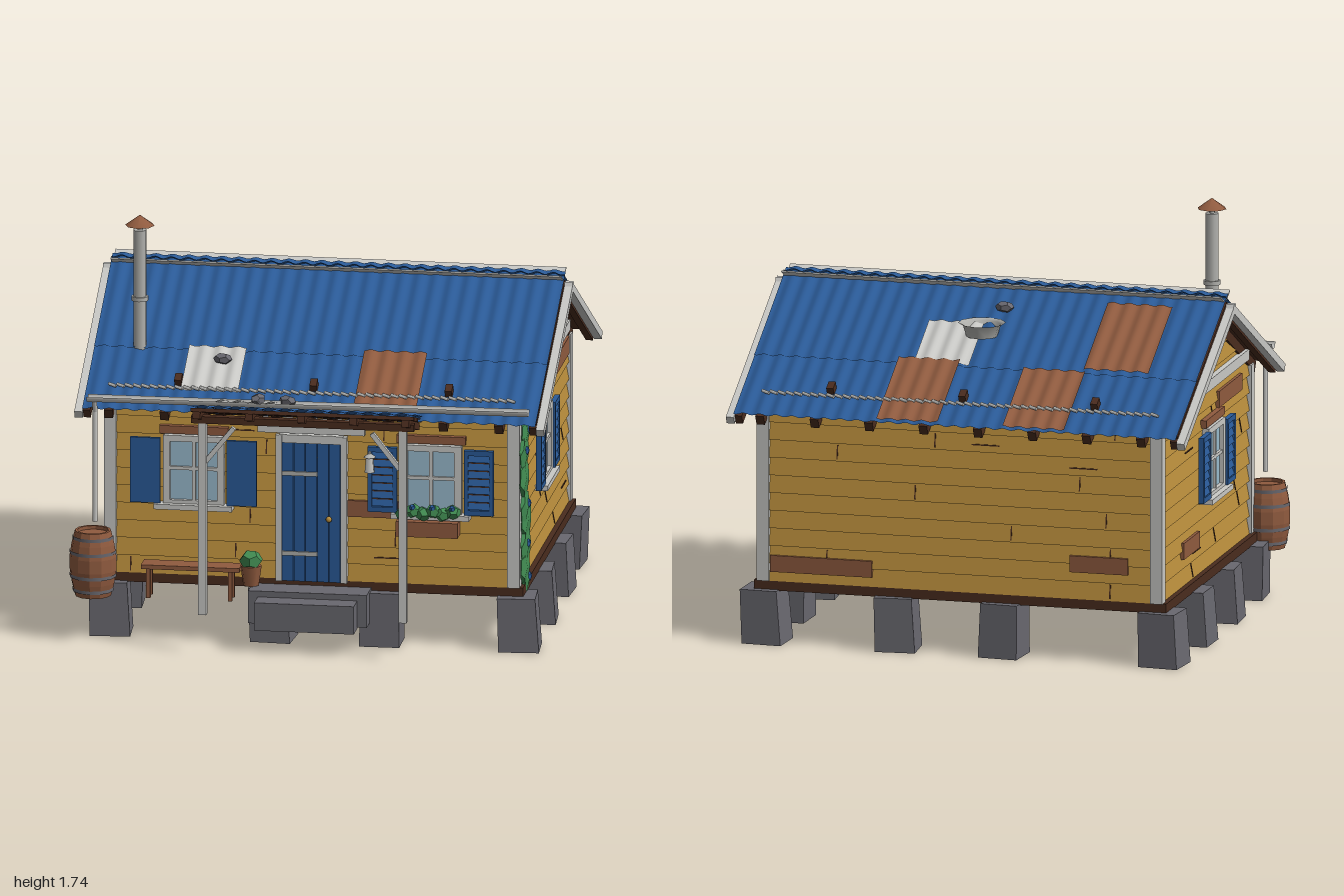
import * as THREE from 'three';
import { mergeGeometries } from 'three/addons/utils/BufferGeometryUtils.js';

const mat = (name, color, extra = {}) => Object.assign(new THREE.MeshStandardMaterial({ color, ...extra }), { name });

export function createModel() {
  const both = { side: THREE.DoubleSide };
  const wallM = mat('ochre boards', 0xba8e3c), blue = mat('blue paint', 0x2a5a97, both), trim = mat('pale trim', 0xc9c9c6, both),
    rust = mat('rusty brown', 0x905b3f, both), dark = mat('dark timber', 0x4a2c1e), floorM = mat('floor timber', 0x5e3c2a),
    stone = mat('stone', 0x69686f), green = mat('leaf green', 0x418c52), glass = mat('window glass', 0x9abdd0), metal = mat('grey metal', 0xb2b2ae, both);
  let seed = 7;
  const rand = () => (seed = (seed * 16807) % 2147483647) / 2147483647;
  const root = new THREE.Group();
  root.name = 'cabin';

  const add = (p, m, name, geo, x = 0, y = 0, z = 0) => {
    const mesh = new THREE.Mesh(geo, m);
    mesh.name = name;
    mesh.position.set(x, y, z);
    p.add(mesh);
    return mesh;
  };
  const box = (p, m, name, [w, h, d], [x, y, z]) => add(p, m, name, new THREE.BoxGeometry(w, h, d), x, y, z);
  const rock = (p, m, name, r, [x, y, z], [sx, sy, sz]) => {
    const o = add(p, m, name, new THREE.DodecahedronGeometry(r), x, y, z);
    o.scale.set(sx, sy, sz);
    return o;
  };
  // straight round bar between two points
  const bar = (p, m, name, r, a, b, n = 8) => {
    const A = new THREE.Vector3(...a), d = new THREE.Vector3(...b).sub(A);
    const o = add(p, m, name, new THREE.CylinderGeometry(r, r, d.length(), n));
    o.position.copy(A).addScaledVector(d, 0.5);
    o.quaternion.setFromUnitVectors(new THREE.Vector3(0, 1, 0), d.normalize());
    return o;
  };

  // ---- body core, floor, sill, corner posts
  const CX = 0.01, CZ = -0.1, SL = 0.53, tilt = Math.atan(SL), K = Math.hypot(1, SL);
  const s = new THREE.Shape([[-0.69, 0.25], [0.69, 0.25], [0.69, 1.01], [0, 1.375], [-0.69, 1.01]].map(([x, y]) => new THREE.Vector2(x, y)));
  const core = new THREE.ExtrudeGeometry(s, { depth: 1.68, bevelEnabled: false }).translate(0, 0, -0.84).rotateY(Math.PI / 2);
  add(root, dark, 'bodyCore', core, CX, 0, CZ);
  for (let i = 0; i < 14; i++) box(root, floorM, 'floorBoard', [1.7, 0.012, 0.096], [CX, 0.243, -0.75 + i * 0.1]);
  for (const k of [-1, 1]) {
    box(root, dark, 'sill', [1.78, 0.042, 0.05], [CX, 0.25, CZ + k * 0.69]);
    box(root, dark, 'sill', [0.05, 0.042, 1.42], [CX + k * 0.865, 0.25, CZ]);
    box(root, dark, 'ridgeBeam', [0.1, 0.05, 0.05], [CX + k * 0.88, 1.355, CZ]);
    for (const j of [-1, 1]) box(root, trim, 'cornerPost', [0.052, 0.72, 0.052], [CX + k * 0.85, 0.63, CZ + j * 0.7]);
  }

  // ---- four lapped-board walls; each group faces +z locally
  const ROW = 0.0753;
  const wall = (name, angle, dist, half, gable) => {
    const g = new THREE.Group();
    g.name = name;
    g.rotation.y = angle;
    g.position.set(CX + Math.sin(angle) * dist, 0, CZ + Math.cos(angle) * dist);
    root.add(g);
    const halfAt = y => gable ? Math.max(0, Math.min(half, (1.395 - y) / SL)) : half;
    const boards = [];
    for (let y0 = 0.27; y0 < (gable ? 1.38 : 1.01); y0 += ROW) {
      const y1 = Math.min(y0 + ROW, gable ? 1.39 : 1.02), b = new THREE.BoxGeometry(2, 1, 1), p = b.attributes.position;
      for (let i = 0; i < p.count; i++) {
        const low = p.getY(i) < 0, y = low ? y0 : y1;
        p.setXYZ(i, p.getX(i) * halfAt(y), y, p.getZ(i) > 0 ? (low ? 0.018 : 0.004) : -0.015);
      }
      b.computeVertexNormals();
      boards.push(b);
      // board joints and cracks
      if (y0 < 1) {
        const x = (rand() * 1.8 - 0.9) * half;
        box(g, dark, 'boardJoint', [0.005, ROW * 0.8, 0.006], [x, y0 + ROW / 2, 0.011]).rotation.x = -0.18;
        if (rand() < 0.3) box(g, dark, 'crack', [0.12, 0.005, 0.006], [-x, y0 + ROW * 0.4, 0.013]);
      }
    }
    add(g, wallM, 'lappedBoards', mergeGeometries(boards));
    return g;
  };
  const front = wall('frontWall', 0, 0.7, 0.85, false), back = wall('backWall', Math.PI, 0.7, 0.85, false);
  const right = wall('plusXWall', Math.PI / 2, 0.85, 0.7, true), left = wall('minusXWall', -Math.PI / 2, 0.85, 0.7, true);
  const patch = (g, x, y, w, h = 0.07) => box(g, rust, 'repairBoard', [w, h, 0.02], [x, y, 0.014]);
  patch(front, 0.26, 0.585, 0.22);
  patch(back, -0.6, 0.345, 0.44);
  patch(back, 0.6, 0.42, 0.25);
  patch(left, -0.25, 0.42, 0.25);
  patch(left, 0.36, 0.95, 0.36);
  patch(right, 0.02, 0.955, 1.26, 0.075);

  function windowUnit(g, x, off, louvred) {
    const w = new THREE.Group();
    w.name = 'window';
    w.position.set(x, 0.724, 0.02);
    g.add(w);
    box(w, glass, 'pane', [0.21, 0.27, 0.008], [0, 0, 0.004]);
    for (const k of [-1, 1]) {
      box(w, trim, 'sideFrame', [0.03, 0.3, 0.03], [k * 0.114, 0, 0.01]);
      box(w, trim, 'crossFrame', [0.25, 0.026, 0.03], [0, k * 0.139, 0.01]);
      const sh = new THREE.Group();
      sh.name = 'shutter';
      sh.position.set(k * off, 0, 0.025);
      w.add(sh);
      if (louvred) {
        box(sh, dark, 'shutterBack', [0.11, 0.26, 0.006], [0, 0, -0.008]);
        for (const j of [-1, 1]) {
          box(sh, blue, 'stile', [0.018, 0.28, 0.022], [j * 0.053, 0, 0]);
          box(sh, blue, 'rail', [0.1, 0.022, 0.022], [0, j * 0.129, 0]);
        }
        for (let i = 0; i < 7; i++) box(sh, blue, 'slat', [0.09, 0.028, 0.006], [0, -0.102 + i * 0.034, 0.002]).rotation.x = -0.35;
      } else {
        for (let i = -1; i < 2; i++) box(sh, blue, 'shutterPlank', [0.042, 0.28, 0.016], [i * 0.0425, 0, 0]);
      }
    }
    box(w, trim, 'mullion', [0.014, 0.26, 0.02], [0, 0, 0.01]);
    box(w, trim, 'mullion', [0.2, 0.014, 0.02], [0, 0.01, 0.01]);
    box(w, trim, 'windowSill', [0.33, 0.022, 0.06], [0, -0.152, 0.02]);
    box(w, rust, 'lintel', [0.29, 0.034, 0.025], [0, 0.174, 0.005]);
  }
  for (const g of [left, right]) {
    box(g, trim, 'gableBand', [1.24, 0.046, 0.03], [0, 1.05, 0.018]);
    // gable vent
    box(g, trim, 'ventFrame', [0.13, 0.11, 0.03], [0, 1.235, 0.015]);
    for (let i = 0; i < 4; i++) box(g, blue, 'ventSlat', [0.105, 0.016, 0.008], [0, 1.2 + i * 0.0235, 0.031]);
    windowUnit(g, g === right ? -0.07 : 0.07, 0.19, true);
  }
  windowUnit(front, -0.495, 0.203, false);
  windowUnit(front, 0.505, 0.203, true);

  // ---- door
  for (let i = 0; i < 5; i++) box(front, blue, 'doorPlank', [0.047, 0.6, 0.02], [-0.1 + i * 0.0495, 0.565, 0.022]);
  for (const x of [-0.137, 0.137]) box(front, trim, 'doorJamb', [0.027, 0.63, 0.045], [x, 0.58, 0.02]);
  box(front, trim, 'doorHead', [0.45, 0.06, 0.04], [0, 0.935, 0.022]);
  box(front, trim, 'doorHeadLower', [0.27, 0.035, 0.04], [0, 0.88, 0.02]);
  for (const y of [0.385, 0.73]) box(front, metal, 'hingeStrap', [0.15, 0.018, 0.008], [-0.05, y, 0.035]);
  add(front, wallM, 'doorKnob', new THREE.SphereGeometry(0.013, 8, 6), 0.075, 0.54, 0.045);

  // ---- stone footings and steps
  const xs = [-0.85, -0.17, 0.3, 0.87], zs = [0.58, 0.125, -0.33, -0.77];
  xs.forEach((x, i) => zs.forEach((z, j) => {
    if (i % 3 && j % 3) return;
    const geo = new THREE.BoxGeometry(0.165, 0.23, 0.165), p = geo.attributes.position;
    const lean = (rand() - 0.5) * 0.03;
    for (let n = 0; n < p.count; n++) {
      const low = p.getY(n) < 0, f = low ? 1.03 : 0.97;
      p.setX(n, p.getX(n) * f + (low ? lean : 0));
      p.setZ(n, p.getZ(n) * f);
    }
    geo.computeVertexNormals();
    add(root, stone, 'footing', geo, x, 0.118, z).rotation.y = (rand() - 0.5) * 0.2;
  }));
  box(root, stone, 'upperStep', [0.5, 0.14, 0.14], [CX, 0.175, 0.67]);
  box(root, stone, 'lowerStep', [0.42, 0.12, 0.1], [CX, 0.16, 0.785]);

  // ---- corrugated sheet lying in local xz
  const sheet = (p, m, name, x0, x1, z0, z1, lift) => {
    const n = Math.round((x1 - x0) / 0.07 * 6), geo = new THREE.PlaneGeometry(x1 - x0, z1 - z0, n, 1).rotateX(-Math.PI / 2).translate((x0 + x1) / 2, lift, (z0 + z1) / 2);
    const a = geo.attributes.position;
    for (let i = 0; i < a.count; i++) a.setY(i, a.getY(i) + 0.005 * Math.cos(a.getX(i) * 2 * Math.PI / 0.07));
    geo.computeVertexNormals();
    return add(p, m, name, geo);
  };
  // ---- two roof slopes; local +z runs down from the ridge
  const patches = {
    1: [[trim, -0.545, -0.305, 0.36, 0.6], [rust, 0.19, 0.455, 0.35, 0.67]],
    '-1': [[trim, 0.04, 0.275, -0.57, -0.33], [rust, -0.465, -0.2, -0.905, -0.57], [rust, 0.08, 0.345, -0.905, -0.55], [rust, -0.735, -0.455, -0.56, -0.18]],
  };
  for (const k of [1, -1]) {
    const r = new THREE.Group();
    r.name = k > 0 ? 'frontRoof' : 'backRoof';
    r.position.set(CX, 1.425, CZ);
    r.rotation.set(tilt, k > 0 ? 0 : Math.PI, 0, 'YXZ');
    root.add(r);
    sheet(r, blue, 'upperSheet', -0.955, 0.955, -0.03, 0.54, 0.006);
    sheet(r, blue, 'lowerSheet', -0.955, 0.955, 0.52, 0.915, 0);
    box(r, dark, 'roofDeck', [1.91, 0.014, 0.87], [0, -0.019, 0.445]);
    for (let i = 0; i < 8; i++) box(r, dark, 'rafter', [0.036, 0.045, 0.885], [-0.85 + i * 0.235, -0.048, 0.4525]);
    for (const j of [-1, 1]) {
      box(r, trim, 'bargeBoard', [0.034, 0.034, 0.915], [j * 0.973, -0.04, 0.457]);
      box(r, dark, 'vergeRafter', [0.03, 0.042, 0.9], [j * 0.94, -0.046, 0.45]);
    }
    patches[k].forEach(([m, x0, x1, z0, z1], i) => {
      const xa = (x0 - CX) * k, xb = (x1 - CX) * k, sa = Math.abs(z0 - CZ) * K, sb = Math.abs(z1 - CZ) * K;
      sheet(r, m, 'patchSheet', Math.min(xa, xb), Math.max(xa, xb), Math.min(sa, sb), Math.max(sa, sb), 0.012 + i * 0.002);
    });
    // rope twists and the pegs that hold it
    const sr = 0.695 * K;
    for (let x = -0.86; x < 0.85; x += 0.035) bar(r, trim, 'ropeTwist', 0.007, [x, 0.018, sr - 0.007], [x + 0.033, 0.018, sr + 0.007], 6);
    for (const x of [-0.57, 0, 0.57]) box(r, dark, 'peg', [0.03, 0.035, 0.045], [x, 0.02, sr - 0.045]);
    // upturned ridge flashing
    box(root, trim, 'ridgeFlashing', [1.9, 0.006, 0.062], [CX, 1.43, CZ + k * 0.044]).rotation.x = -k * tilt;
  }
  for (const [x, y, z] of [[-0.39, 1.165, 0.46], [-0.03, 1.37, -0.26], [-0.2, 1.07, 0.73], [-0.08, 1.06, 0.7]])
    rock(root, stone, 'roofStone', 0.04, [x, y, z], [1.05, 0.6, 0.8]).rotation.y = x * 9;
  add(root, metal, 'basin', new THREE.LatheGeometry([[0.065, -0.05], [0.08, 0], [0.1, 0.008]].map(([x, y]) => new THREE.Vector2(x, y)), 10), 0.03, 1.322, -0.4);

  // ---- chimney
  const cx = -0.755, cz = 0.36;
  add(root, metal, 'chimneyPipe', new THREE.CylinderGeometry(0.028, 0.028, 0.52, 10), cx, 1.42, cz);
  add(root, metal, 'chimneyBand', new THREE.CylinderGeometry(0.036, 0.036, 0.018, 10), cx, 1.385, cz);
  bar(root, metal, 'capStem', 0.01, [cx, 1.67, cz], [cx, 1.72, cz]);
  add(root, rust, 'chimneyCap', new THREE.ConeGeometry(0.062, 0.045, 8), cx, 1.722, cz);

  // ---- gutter, downspout, barrel
  const gut = new THREE.CylinderGeometry(0.026, 0.026, 1.86, 8, 1, true, Math.PI, Math.PI).rotateZ(Math.PI / 2);
  add(root, trim, 'gutter', gut, CX, 1.062, 0.73).rotation.z = 0.006;
  bar(root, trim, 'downspout', 0.011, [-0.89, 0.51, 0.71], [-0.89, 0.99, 0.71]);
  bar(root, trim, 'downspoutElbow', 0.011, [-0.89, 0.985, 0.71], [-0.89, 1.035, 0.73]);
  const bR = t => 0.076 + 0.024 * Math.sin(Math.PI * t);
  const barrel = [[0, 0], ...[0, 0.2, 0.4, 0.6, 0.8, 1].map(t => [bR(t), t * 0.28]), [0.065, 0.28], [0.065, 0.265], [0, 0.265]];
  const bg = new THREE.LatheGeometry(barrel.map(([x, y]) => new THREE.Vector2(x, y)), 12).toNonIndexed();
  bg.computeVertexNormals();
  add(root, rust, 'barrel', bg, -0.9, 0.19, 0.7);
  for (const t of [0.1, 0.32, 0.68, 0.9]) add(root, stone, 'barrelHoop', new THREE.CylinderGeometry(bR(t) + 0.003, bR(t) + 0.003, 0.014, 12, 1, true), -0.9, 0.19 + t * 0.28, 0.7);

  // ---- porch awning, tipping back towards the roof
  const aw = new THREE.Group();
  aw.name = 'awning';
  aw.position.set(CX, 1.075, 0.895);
  aw.rotation.x = -0.3;
  root.add(aw);
  sheet(aw, blue, 'awningSheet', -0.475, 0.475, -0.26, 0, 0.002);
  sheet(aw, trim, 'awningPatch', -0.38, -0.13, -0.26, -0.08, 0.03);
  for (let i = 0; i < 5; i++) box(aw, dark, 'awningRafter', [0.032, 0.03, 0.3], [-0.44 + i * 0.22, -0.038, -0.135]);
  for (const z of [-0.03, -0.13, -0.23]) box(aw, dark, 'batten', [0.94, 0.016, 0.03], [0, -0.015, z]);
  box(root, dark, 'awningBeam', [0.94, 0.03, 0.035], [CX, 1.012, 0.863]);
  for (const k of [-1, 1]) {
    box(root, trim, 'porchPost', [0.034, 0.83, 0.034], [CX + k * 0.422, 0.585, 0.863]);
    box(root, trim, 'postBrace', [0.02, 0.19, 0.02], [CX + k * 0.35, 0.905, 0.863]).rotation.z = k * 0.67;
  }

  // ---- bench, potted plant, lantern, flower box
  box(root, rust, 'benchSeat', [0.415, 0.018, 0.09], [-0.487, 0.325, 0.68]);
  for (const x of [-0.665, -0.32]) for (const z of [0.65, 0.71]) box(root, rust, 'benchLeg', [0.018, 0.13, 0.018], [x, 0.255, z]);
  add(root, rust, 'plantPot', new THREE.CylinderGeometry(0.045, 0.033, 0.085, 8), -0.238, 0.295, 0.675);
  rock(root, green, 'pottedPlant', 0.05, [-0.238, 0.36, 0.675], [1, 0.85, 0.95]);
  bar(root, metal, 'lanternArm', 0.006, [0.26, 0.84, 0.61], [0.26, 0.84, 0.67]);
  add(root, trim, 'lantern', new THREE.CylinderGeometry(0.016, 0.022, 0.065, 6), 0.26, 0.79, 0.665);
  add(root, metal, 'lanternTop', new THREE.ConeGeometry(0.027, 0.02, 6), 0.26, 0.832, 0.665);
  box(root, rust, 'flowerBox', [0.26, 0.065, 0.07], [0.505, 0.525, 0.66]);
  for (let i = 0; i < 6; i++) {
    rock(root, green, 'flowerLeaves', 0.034, [0.4 + i * 0.042, 0.585 + (i % 2) * 0.012, 0.66], [1, 0.9, 1]).rotation.y = i;
    if (i % 2) rock(root, blue, 'flower', 0.014, [0.4 + i * 0.042, 0.617, 0.68], [1, 1, 1]);
  }

  // ---- climbing vine on the +x corner
  [[0.53, 0.92, 0.06, 0.07], [0.55, 0.84, 0.085, 0.08], [0.55, 0.73, 0.085, 0.09], [0.53, 0.6, 0.08, 0.08], [0.5, 0.54, 0.1, 0.1], [0.51, 0.43, 0.1, 0.1], [0.53, 0.34, 0.09, 0.08], [0.51, 0.28, 0.055, 0.06]].forEach(([z, y, w, h], i) => {
    rock(root, green, 'vineLeaves', 1, [0.892, y, z], [0.02, h, w]).rotation.x = i % 2 ? 0.3 : -0.2;
    if (i % 2 || i === 0) rock(root, blue, 'vineBerry', 0.02, [0.908, y + 0.012, z + (i % 4 === 1 ? 0.02 : -0.01)], [0.6, 1, 1]);
  });
  return root;
}
